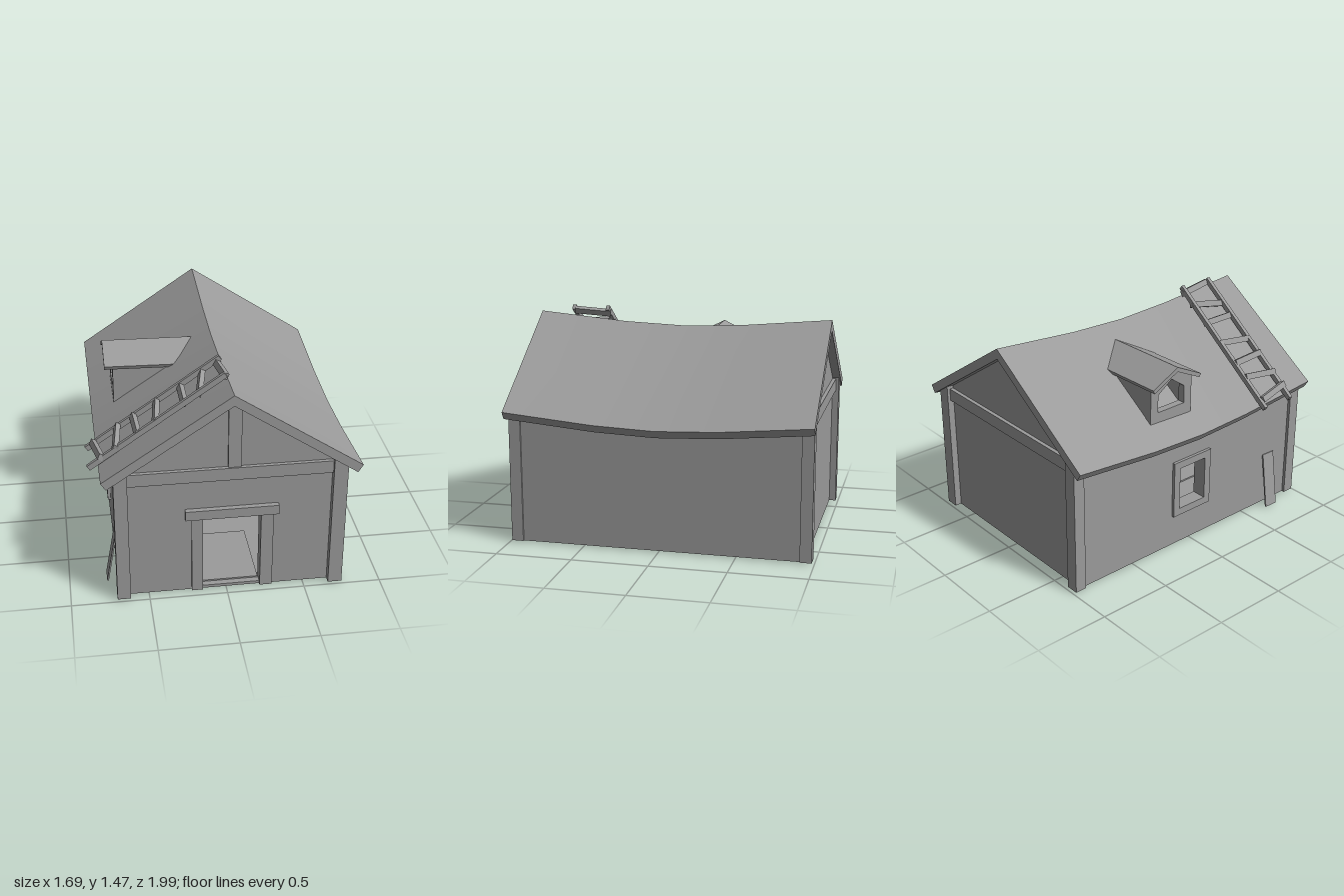
import * as THREE from 'three';
import { toCreasedNormals } from 'three/addons/utils/BufferGeometryUtils.js';

export function createModel() {
  const model = new THREE.Group();
  model.name = 'cottage';
  const material = new THREE.MeshStandardMaterial({ color: 0x9b9b9b });

  const add = (name, geometry) => {
    const mesh = new THREE.Mesh(geometry, material);
    mesh.name = name;
    model.add(mesh);
    return mesh;
  };
  // Box given by its limits
  const box = (name, x0, x1, y0, y1, z0, z1) => {
    const g = new THREE.BoxGeometry(x1 - x0, y1 - y0, z1 - z0);
    g.translate((x0 + x1) / 2, (y0 + y1) / 2, (z0 + z1) / 2);
    return add(name, g);
  };
  // Beam running from p to q
  const beam = (name, p, q, width, height) => {
    const a = new THREE.Vector3(...p), b = new THREE.Vector3(...q);
    const mesh = add(name, new THREE.BoxGeometry(width, height, a.distanceTo(b)));
    mesh.position.copy(a).lerp(b, 0.5);
    mesh.lookAt(b);
    return mesh;
  };
  const points = (list) => list.map(([x, y]) => new THREE.Vector2(x, y));
  // Extruded outline with an optional hole
  const panel = (outline, depth, hole, steps = 1) => {
    const shape = new THREE.Shape(points(outline));
    if (hole) shape.holes.push(new THREE.Path(points(hole)));
    return new THREE.ExtrudeGeometry(shape, { depth, steps, bevelEnabled: false });
  };
  const rect = (a, b, c, d) => [[a, c], [b, c], [b, d], [a, d]];
  // Turn an xy panel so that its outline lies in zy and its depth runs to -x
  const sideways = (g, x) => g.rotateY(-Math.PI / 2).translate(x, 0, 0);
  const bend = (g, rule) => {
    const pos = g.attributes.position, v = new THREE.Vector3();
    for (let i = 0; i < pos.count; i++) {
      rule(v.fromBufferAttribute(pos, i));
      pos.setXYZ(i, v.x, v.y, v.z);
    }
    return toCreasedNormals(g, 0.5);
  };

  // Floor and walls
  box('floor', -0.67, 0.73, 0.01, 0.03, -0.935, 0.935);
  const gable = [[-0.68, 0.01], [0.735, 0.01], [0.735, 0.91], [0.03, 1.38], [-0.68, 0.91]];
  add('frontWall', panel(gable, 0.06, rect(-0.16, 0.22, 0.03, 0.57)).translate(0, 0, 0.88));
  add('backWall', panel(gable, 0.06).translate(0, 0, -0.94));
  box('sideWall', 0.68, 0.738, 0.01, 0.85, -0.92, 0.92);
  add('windowWall', sideways(
    panel(rect(-0.92, 0.92, 0.01, 0.85), 0.06, rect(-0.12, 0.11, 0.28, 0.58)), -0.625));

  // Corner posts with sloping tops, and tie beams at both ends
  for (const z of [0.91, -0.985]) {
    add('cornerPost', panel([[-0.705, 0.01], [-0.62, 0.01], [-0.62, 0.95], [-0.705, 0.893]], 0.077)
      .translate(0, 0, z));
    add('cornerPost', panel([[0.66, 0.01], [0.75, 0.01], [0.75, 0.9], [0.66, 0.96]], 0.077)
      .translate(0, 0, z));
  }
  box('tieBeam', -0.62, 0.66, 0.83, 0.915, 0.9, 0.965);
  box('tieBeam', -0.62, 0.66, 0.83, 0.915, -0.965, -0.9);
  box('kingPost', 0.003, 0.085, 0.915, 1.37, 0.9, 0.955);

  // Doorway with the door lying on the floor inside
  box('doorPost', -0.225, -0.155, 0.01, 0.56, 0.87, 0.957);
  box('doorPost', 0.215, 0.295, 0.01, 0.56, 0.87, 0.957);
  box('doorLintel', -0.265, 0.325, 0.56, 0.625, 0.87, 0.975);
  box('fallenDoor', -0.15, 0.21, 0.028, 0.04, 0.38, 0.9);

  // Side window frame
  add('windowFrame', sideways(
    panel(rect(-0.165, 0.155, 0.23, 0.63), 0.1, rect(-0.115, 0.105, 0.28, 0.58)), -0.605));

  // Sagging main roof, bent at the middle and at two fifths of each half
  const roof = panel([[-0.78, 0.89], [-0.748, 0.84], [0.03, 1.36], [0.808, 0.84],
    [0.84, 0.89], [0.03, 1.43]], 1.99, null, 4).translate(0, 0, -0.995);
  add('roof', bend(roof, (v) => {
    if (Math.abs(v.z) < 0.9) v.z *= 0.8;
    v.y -= 0.07 * (1 - Math.abs(v.z) ** 1.6);
  }));

  // Dormer: front wall with opening, cheeks and a small roof cut to the main slope
  const mid = -0.14;
  const house = (w, low, eave, top) =>
    [[mid - w, low], [mid + w, low], [mid + w, eave], [mid, top], [mid - w, eave]];
  add('dormerFront', sideways(
    panel(house(0.172, 0.9, 1.185, 1.275), 0.05, house(0.11, 1.0, 1.12, 1.2)), -0.58));
  for (const z of [mid - 0.17, mid + 0.14]) {
    add('dormerCheek', panel([[-0.6, 0.91], [-0.18, 1.19], [-0.6, 1.19]], 0.03).translate(0, 0, z));
  }
  const dormerRoof = sideways(panel([[mid - 0.2, 1.2], [mid - 0.19, 1.175], [mid, 1.27],
    [mid + 0.19, 1.175], [mid + 0.2, 1.2], [mid, 1.3]], 0.6), -0.085);
  add('dormerRoof', bend(dormerRoof, (v) => {
    if (v.x > -0.3) {
      v.x = -0.06 - 0.68 * Math.abs(v.z - mid);
      v.y -= 0.01;
    }
  }));

  // Roof ladder with crooked rungs
  const railY = (x) => 0.86 + 0.706 * (x + 0.84);
  for (const [z0, z1] of [[0.512, 0.535], [0.748, 0.773]]) {
    beam('ladderRail', [-0.84, railY(-0.84), z0], [0.01, railY(0.01), z1], 0.025, 0.035);
  }
  const rungs = [[-0.8, -0.76, 0.02], [-0.64, -0.67, 0.015], [-0.54, -0.53, 0.01],
    [-0.39, -0.42, 0], [-0.24, -0.24, -0.01], [-0.1, -0.15, -0.015], [-0.015, 0.012, -0.02]];
  for (const [xa, xb, lift] of rungs) {
    const rung = beam('ladderRung', [xa, railY(xa) + lift, 0.52], [xb, railY(xb) + lift, 0.765],
      0.032, 0.04);
    rung.rotateZ(-0.45);
  }

  // Plank leaning on the wall
  const plank = add('leaningPlank', new THREE.BoxGeometry(0.01, 0.39, 0.1));
  plank.position.set(-0.72, 0.195, 0.725);
  plank.rotation.set(0.03, 0, -0.17);

  return model;
}
